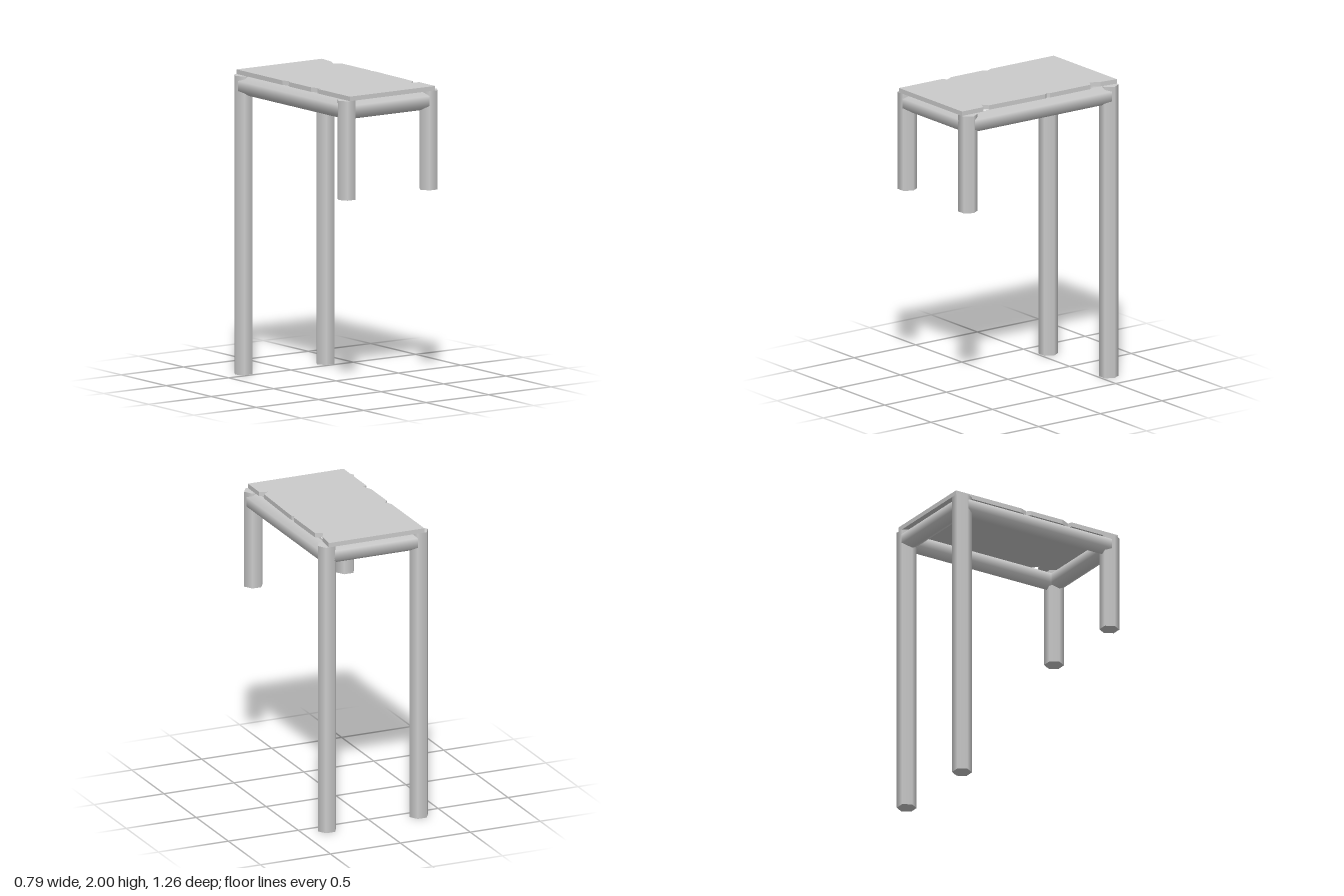
import * as THREE from 'three';

const RADIUS = 0.065;          // six-sided poles
const X = 0.328, Z = 0.572;    // pole centre lines
const TOP = 1.97;              // underside of the board

export function createModel() {
  const group = new THREE.Group();
  const material = new THREE.MeshStandardMaterial({ color: 0xcccccc });

  const add = (name, geometry, x, y, z) => {
    const mesh = new THREE.Mesh(geometry, material);
    mesh.name = name;
    mesh.position.set(x, y, z);
    group.add(mesh);
  };
  const pole = (length) => new THREE.CylinderGeometry(RADIUS, RADIUS, length, 6);

  for (const [side, s] of [['left', 1], ['right', -1]]) {
    // Long back legs and short front legs, corners pointing sideways
    for (const [end, z, foot] of [['Front', Z, 1.315], ['Back', -Z, 0]]) {
      const length = TOP - foot;
      add(`${side}${end}Leg`, pole(length).rotateY(Math.PI / 6), s * X, foot + length / 2, z);
    }
    // Side rails, corners pointing up and down
    add(`${side}Rail`, pole(2 * Z).rotateX(Math.PI / 2), s * X, TOP - RADIUS, 0);
  }

  // Front and back rails between the legs
  for (const [name, z] of [['frontRail', Z], ['backRail', -Z]]) {
    add(name, pole(0.604).rotateY(Math.PI / 6).rotateZ(Math.PI / 2), 0, TOP - RADIUS, z);
  }

  // Board with chipped long edges, outline given as x, z
  const outline = [
    [-0.343, 0.628], [0.341, 0.628], [0.341, 0.455], [0.287, 0.432], [0.33, 0.4],
    [0.341, 0], [0.341, -0.05], [0.327, -0.067], [0.341, -0.085],
    [0.341, -0.415], [0.296, -0.44], [0.328, -0.505], [0.341, -0.628],
    [-0.343, -0.628], [-0.343, -0.12], [-0.323, -0.07], [-0.343, -0.047],
    [-0.343, 0.2], [-0.315, 0.26], [-0.343, 0.27],
  ];
  const shape = new THREE.Shape(outline.map(([x, z]) => new THREE.Vector2(x, -z)));
  const board = new THREE.ExtrudeGeometry(shape, { depth: 2 - TOP, bevelEnabled: false });
  add('board', board.rotateX(-Math.PI / 2), 0, TOP, 0);

  return group;
}
